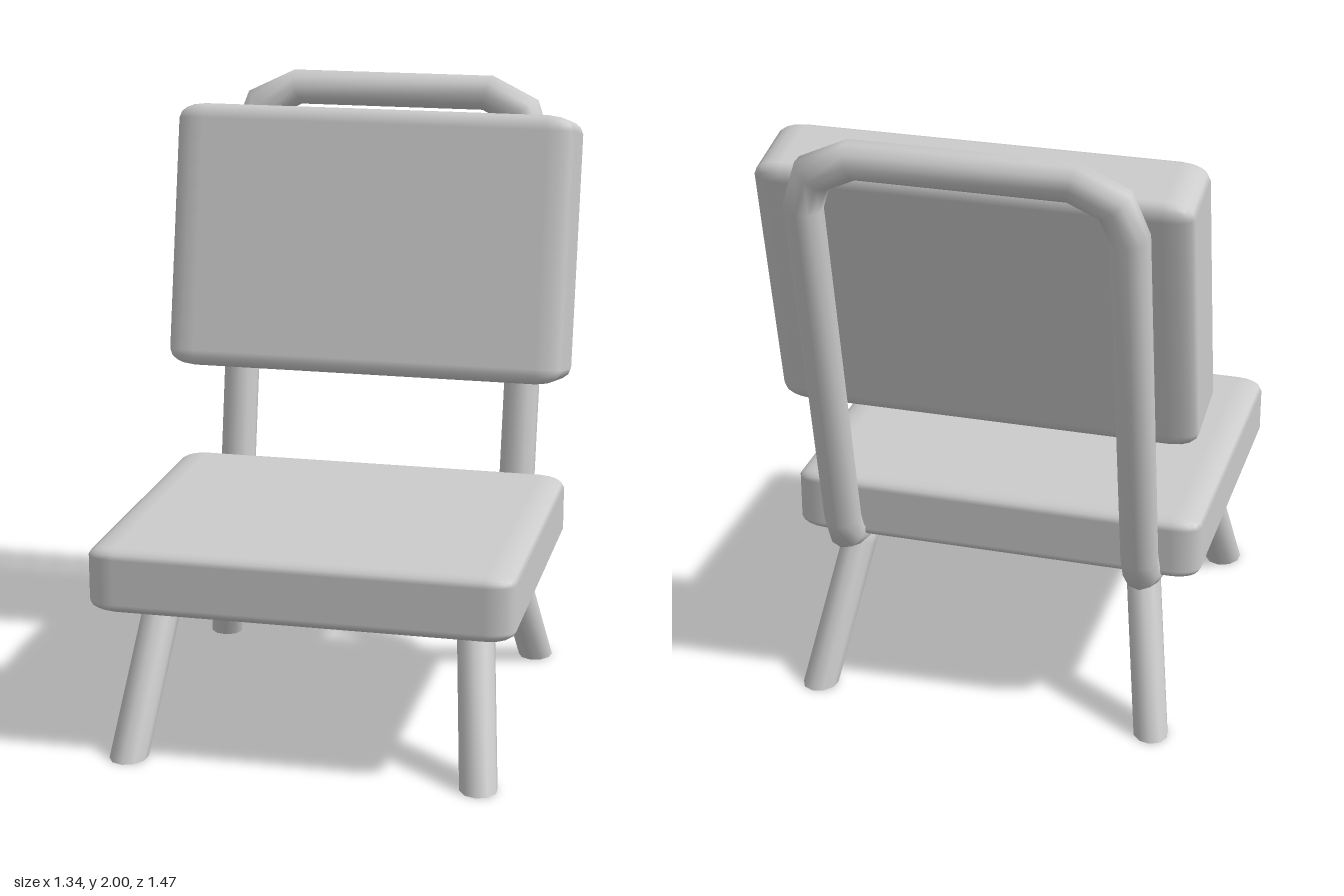
import * as THREE from 'three';
import { RoundedBoxGeometry } from 'three/addons/geometries/RoundedBoxGeometry.js';

const material = new THREE.MeshStandardMaterial({ color: 0xcccccc });
const vec = (p) => new THREE.Vector3(...p);
const mirror = ([x, y, z]) => [-x, y, z];

// Round bar along a polyline with mitred bends; ends may be cut flat on the floor.
function bar(points, radius, floorStart, floorEnd, sides = 10) {
  const pts = points.map(vec);
  const last = pts.length - 1;
  const dirs = pts.slice(1).map((p, i) => p.clone().sub(pts[i]).normalize());
  const up = vec([0, 1, 0]);
  const u = vec([1, 0, 0]).cross(dirs[0]).normalize();
  const v = dirs[0].clone().cross(u);
  const pos = [], index = [];
  let ring = [];
  for (let j = 0; j < sides; j++) {
    const a = (j / sides) * Math.PI * 2;
    ring.push(pts[0].clone().addScaledVector(u, Math.cos(a) * radius).addScaledVector(v, Math.sin(a) * radius));
  }
  pts.forEach((p, i) => {
    const along = dirs[Math.max(i - 1, 0)];
    let normal = along.clone();
    if (i > 0 && i < last) normal.add(dirs[i]).normalize();
    if ((i === 0 && floorStart) || (i === last && floorEnd)) normal = up;
    // slide the ring along the bar onto the cutting plane
    ring = ring.map((q) => q.clone().addScaledVector(along, p.clone().sub(q).dot(normal) / along.dot(normal)));
    ring.forEach((q) => pos.push(q.x, q.y, q.z));
    if (i === 0) return;
    for (let j = 0; j < sides; j++) {
      const k = (j + 1) % sides, a = (i - 1) * sides, b = i * sides;
      index.push(a + j, a + k, b + j, a + k, b + k, b + j);
    }
  });
  // flat end caps with their own vertices
  for (const row of [0, last]) {
    const base = pos.length / 3;
    for (let j = 0; j < sides * 3; j++) pos.push(pos[row * sides * 3 + j]);
    for (let j = 1; j < sides - 1; j++) {
      index.push(base, ...(row ? [base + j, base + j + 1] : [base + j + 1, base + j]));
    }
  }
  const geometry = new THREE.BufferGeometry();
  geometry.setAttribute('position', new THREE.Float32BufferAttribute(pos, 3));
  geometry.setIndex(index);
  geometry.computeVertexNormals();
  return geometry;
}

// Rounded block whose edge radius differs per axis.
function cushion(size, edge) {
  const [w, h, d] = size.map((s, i) => s / edge[i]);
  return new RoundedBoxGeometry(w, h, d, 2, 1).scale(...edge);
}

export function createModel() {
  const group = new THREE.Group();
  const add = (name, geometry) => {
    const mesh = new THREE.Mesh(geometry, material);
    mesh.name = name;
    group.add(mesh);
    return mesh;
  };

  // Cushions
  add('seat', cushion([1.34, 0.215, 1.1], [0.09, 0.035, 0.05])).position.set(0, 0.602, 0.183);
  const backrest = add('backrest', cushion([1.34, 0.88, 0.277], [0.09, 0.05, 0.035]));
  backrest.position.set(0, 1.465, -0.4);
  backrest.rotation.x = -0.206;

  // One continuous tube: front foot, under the seat, up the back and over
  const half = [
    [0.56, 0, 0.67], [0.507, 0.44, 0.445], [0.5, 0.495, 0.385],
    [0.492, 0.495, -0.3], [0.492, 0.53, -0.385], [0.492, 0.6, -0.417],
    [0.495, 1.77, -0.645], [0.455, 1.88, -0.665], [0.33, 1.94, -0.675],
  ];
  add('frame', bar([...half, ...half.map(mirror).reverse()], 0.06, true, true));

  // Rear legs with a short arm fixed under the frame
  const rear = [[0.475, 0.49, 0], [0.475, 0.475, -0.27], [0.482, 0.44, -0.295], [0.56, 0, -0.495]];
  add('rearLegLeft', bar(rear, 0.056, false, true));
  add('rearLegRight', bar(rear.map(mirror), 0.056, false, true));
  return group;
}
